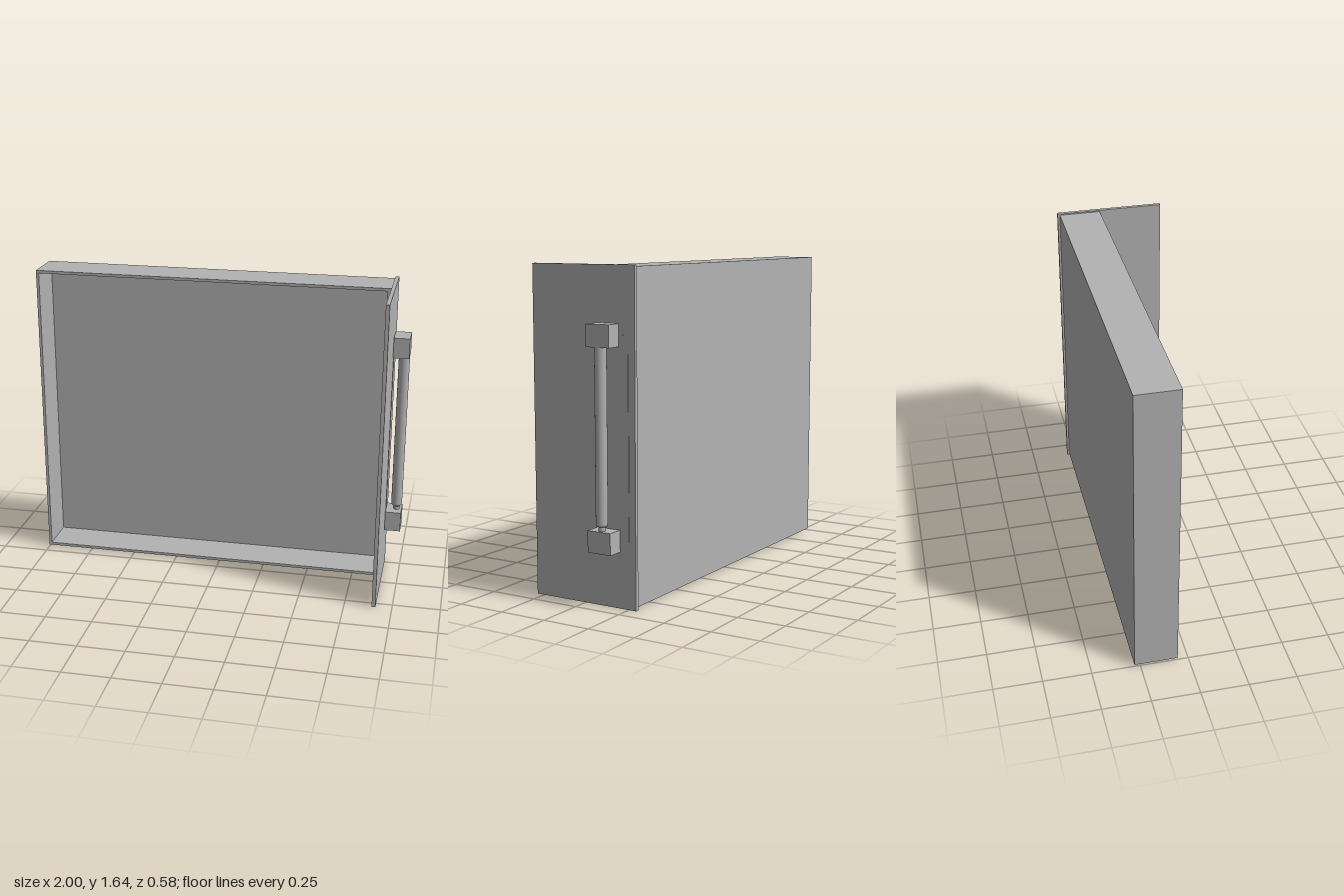
import * as THREE from 'three';

export function createModel() {
  const model = new THREE.Group();
  const grey = new THREE.MeshStandardMaterial({ color: 0xb2b2b2 });
  grey.name = 'grey';

  // Box given by its minimum and maximum on each axis
  function box(name, x0, x1, y0, y1, z0, z1, parent = model) {
    const mesh = new THREE.Mesh(new THREE.BoxGeometry(x1 - x0, y1 - y0, z1 - z0), grey);
    mesh.position.set((x0 + x1) / 2, (y0 + y1) / 2, (z0 + z1) / 2);
    mesh.name = name;
    parent.add(mesh);
  }

  // Shallow tray, open to the front
  const tray = new THREE.Group();
  tray.name = 'tray';
  model.add(tray);
  const L = -1, R = 0.894, B = 0.01, T = 1.63, back = -0.28, front = -0.055, w = 0.015;
  box('trayBack', L, R, B, T, back, back + w, tray);
  box('trayBottom', L, R, B, B + w, back + w, front, tray);
  box('trayTop', L, R, T - w, T, back + w, front, tray);
  box('trayRightWall', L, L + w, B + w, T - w, back + w, front, tray);
  box('trayLeftWall', R - 0.02, R, B + w, T - w, back + w, front, tray);

  // Upright side panel
  box('sidePanel', R, 0.914, 0, 1.637, -0.292, 0.292);

  // Handle: two blocks, a thin backing strip and a rounded grip on a pin
  const handle = new THREE.Group();
  handle.name = 'handle';
  model.add(handle);
  box('upperBlock', 0.916, 1, 1.257, 1.365, -0.205, -0.076, handle);
  box('lowerBlock', 0.916, 1, 0.278, 0.385, -0.205, -0.076, handle);
  box('backingStrip', 0.914, 0.917, 0.33, 1.312, -0.256, -0.13, handle);

  const profile = [[0, 0.405], [0.02, 0.405], [0.026, 0.41], [0.029, 0.42], [0.029, 1.257]]
    .map(([r, y]) => new THREE.Vector2(r, y));
  const grip = new THREE.Mesh(new THREE.LatheGeometry(profile, 32), grey);
  grip.name = 'grip';
  const pin = new THREE.Mesh(new THREE.CylinderGeometry(0.016, 0.016, 0.03, 24), grey);
  pin.name = 'pin';
  grip.position.set(0.971, 0, -0.139);
  pin.position.set(0.971, 0.395, -0.139);
  handle.add(grip, pin);

  return model;
}
